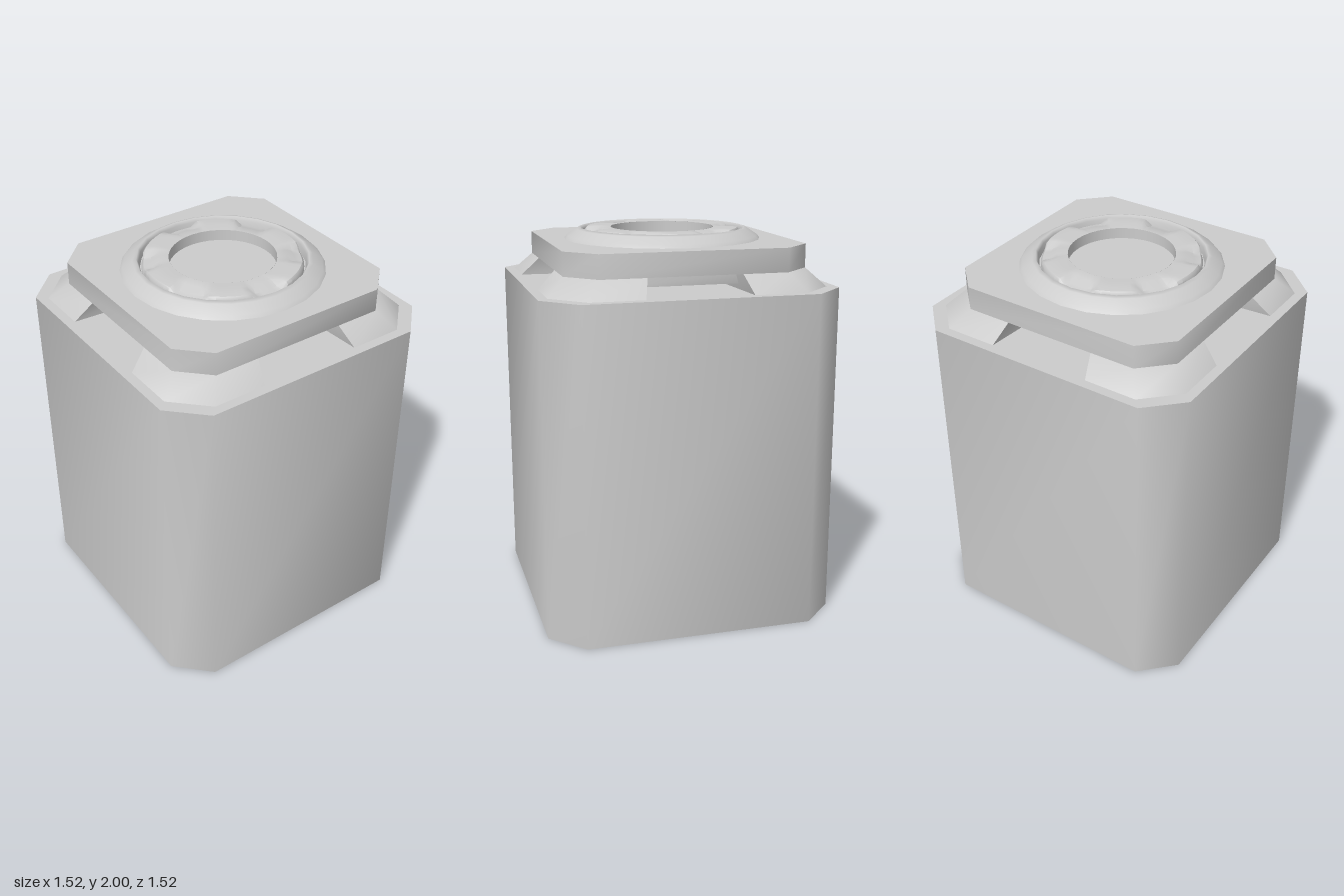
import * as THREE from 'three';
import { toCreasedNormals } from 'three/addons/utils/BufferGeometryUtils.js';

const material = new THREE.MeshStandardMaterial({ color: 0xcccccc, side: THREE.DoubleSide });

function addMesh(parent, name, geometry) {
  const mesh = new THREE.Mesh(geometry, material);
  mesh.name = name;
  parent.add(mesh);
  return mesh;
}

// Corner-cut square outline as [x, z] pairs: half width h, cut starting at c
const octagon = (h, c) => [
  [h, -c], [h, c], [c, h], [-c, h], [-h, c], [-h, -c], [-c, -h], [c, -h],
];

// Solid between a lower and an upper outline, with optional open bottom
function loft(lower, y0, upper, y1, openBottom = false) {
  const n = lower.length;
  const positions = [], index = [];
  lower.forEach(([x, z]) => positions.push(x, y0, z));
  upper.forEach(([x, z]) => positions.push(x, y1, z));
  for (let i = 0; i < n; i++) {
    const j = (i + 1) % n;
    index.push(i, n + i, j, j, n + i, n + j);
    if (i > 0 && i < n - 1) {
      index.push(n, n + j, n + i);
      if (!openBottom) index.push(0, i, j);
    }
  }
  const geometry = new THREE.BufferGeometry();
  geometry.setAttribute('position', new THREE.Float32BufferAttribute(positions, 3));
  geometry.setIndex(index);
  return toCreasedNormals(geometry, 0.83);
}

const lathe = (points, segments) =>
  new THREE.LatheGeometry(points.map(([r, y]) => new THREE.Vector2(r, y)), segments);

export function createModel() {
  const model = new THREE.Group();
  model.name = 'canister';

  // Tall hollow body, open underneath
  const bodyOutline = octagon(0.76, 0.59);
  addMesh(model, 'body', loft(bodyOutline, 0, bodyOutline, 1.73, true));

  // Four sloped corner feet carrying the lid
  const footBase = [[0.24, 0.24], [0.71, 0.27], [0.71, 0.545], [0.545, 0.71], [0.27, 0.71]];
  const footTop = [[0.24, 0.24], [0.62, 0.24], [0.62, 0.475], [0.475, 0.62], [0.24, 0.62]];
  const footGeometry = loft(footBase, 1.73, footTop, 1.82);
  for (let i = 0; i < 4; i++) {
    addMesh(model, 'cornerFoot' + (i + 1), footGeometry).rotation.y = i * Math.PI / 2;
  }

  // Lid plate with a shallow slab below it
  const lidOutline = octagon(0.62, 0.475);
  addMesh(model, 'lid', loft(lidOutline, 1.82, lidOutline, 1.94));
  const slabOutline = octagon(0.52, 0.4);
  addMesh(model, 'lidUnderside', loft(slabOutline, 1.76, slabOutline, 1.82));

  // Bevelled collar on the lid
  const collar = lathe([
    [0.515, 1.94], [0.5, 1.957], [0.45, 1.99], [0.43, 1.997], [0.42, 1.98], [0.415, 1.945],
  ], 24);
  addMesh(model, 'collar', collar);

  // Inner ring with six dents pressed into its outer half
  const ring = lathe([
    [0.405, 1.945], [0.405, 1.985], [0.395, 1.997], [0.36, 2], [0.32, 2], [0.27, 1.997],
  ], 72);
  const p = ring.attributes.position;
  for (let i = 0; i < p.count; i++) {
    const r = Math.hypot(p.getX(i), p.getZ(i));
    const wave = Math.cos(6 * Math.atan2(p.getZ(i), p.getX(i)));
    const dent = THREE.MathUtils.smoothstep(wave, -0.1, 0.5) * THREE.MathUtils.smoothstep(r, 0.3, 0.37);
    if (p.getY(i) > 1.95) p.setY(i, p.getY(i) - 0.03 * dent);
  }
  addMesh(model, 'innerRing', toCreasedNormals(ring, 0.7));

  // Straight wall of the central recess
  addMesh(model, 'recessWall', lathe([[0.27, 1.997], [0.27, 1.94]], 36));

  return model;
}
